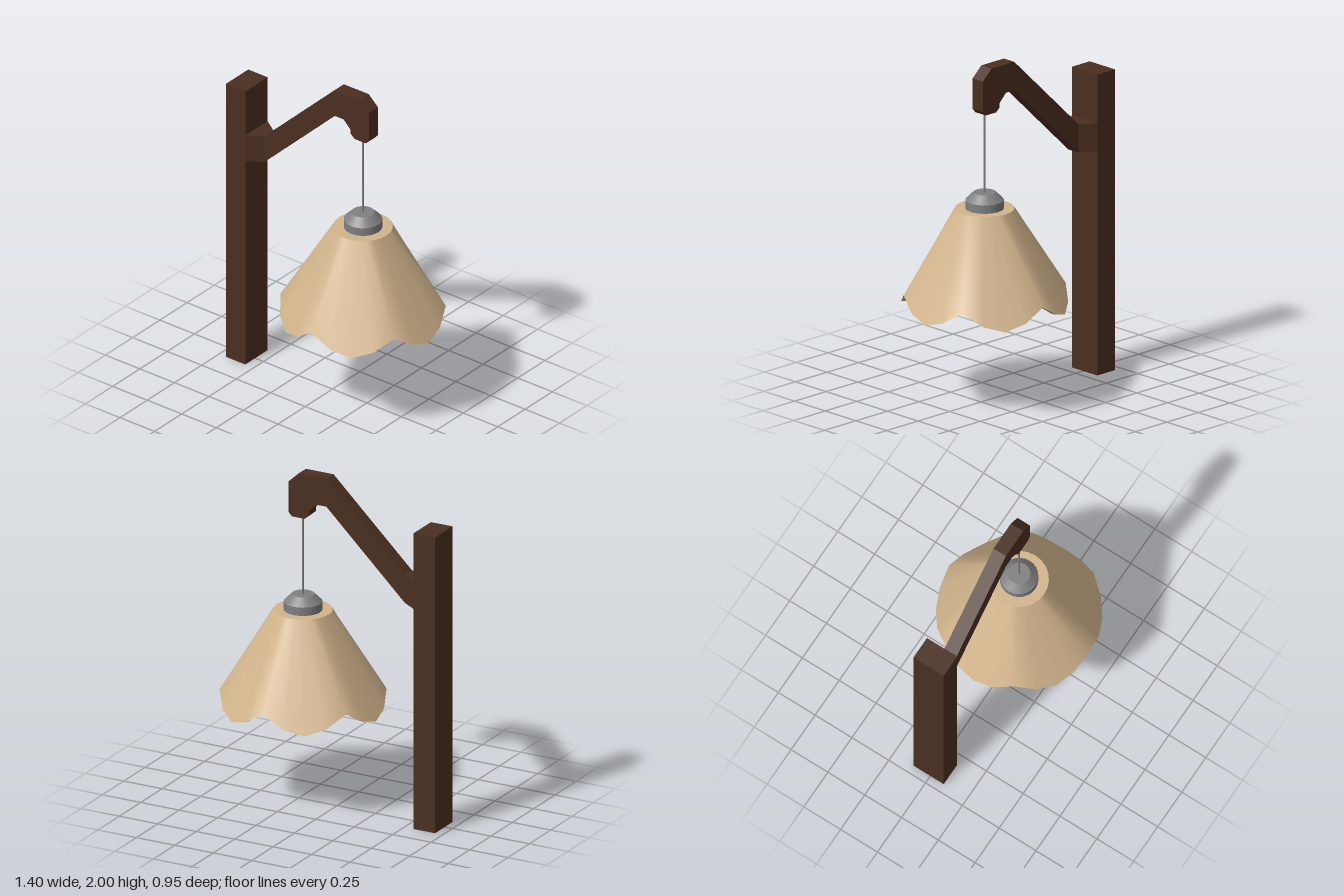
import * as THREE from 'three';

const LAMP_X = 0.222, ARM_Z = -0.012, SIDES = 24;

export function createModel() {
  const model = new THREE.Group();
  const material = (name, color, side = THREE.FrontSide) =>
    new THREE.MeshStandardMaterial({ name, color, side });
  const wood = material('darkWood', 0x4a2f20);
  const tan = material('tanShade', 0xd2b48c);
  const grey = material('greyMetal', 0x808080);

  const add = (name, geometry, mat, x = 0, y = 0, z = 0, parent = model) => {
    const mesh = new THREE.Mesh(geometry, mat);
    mesh.name = name;
    mesh.position.set(x, y, z);
    parent.add(mesh);
    return mesh;
  };

  // Upright post
  add('post', new THREE.BoxGeometry(0.14, 1.8, 0.205), wood, -0.63, 0.9, ARM_Z);

  // Bracket tapering from the post width to the arm width
  const bracket = new THREE.BoxGeometry(0.09, 0.17, 0.205);
  const p = bracket.attributes.position;
  for (let i = 0; i < p.count; i++) if (p.getX(i) > 0) p.setZ(i, Math.sign(p.getZ(i)) * 0.042);
  bracket.computeVertexNormals();
  add('bracket', bracket, wood, -0.515, 1.425, ARM_Z);

  // Sloping arm with hooked end
  const outline = [
    [-0.47, 1.34], [0.04, 1.83], [0.105, 1.83], [0.155, 1.78], [0.155, 1.755], [0.183, 1.73],
    [0.265, 1.73], [0.288, 1.755], [0.288, 1.938], [0.22, 2], [0.04, 2], [-0.47, 1.51],
  ].map(([x, y]) => new THREE.Vector2(x, y));
  const arm = new THREE.ExtrudeGeometry(new THREE.Shape(outline), { depth: 0.084, bevelEnabled: false });
  add('arm', arm, wood, 0, 0, ARM_Z - 0.042);

  // Hanging lamp
  const lamp = new THREE.Group();
  lamp.name = 'lamp';
  lamp.position.x = LAMP_X;
  model.add(lamp);
  add('cord', new THREE.CylinderGeometry(0.006, 0.006, 0.5, 10), grey, 0, 1.49, 0, lamp);
  add('capCollar', new THREE.CylinderGeometry(0.11, 0.11, 0.055, SIDES), grey, 0, 1.1775, 0, lamp);
  add('capTop', new THREE.CylinderGeometry(0.065, 0.11, 0.045, SIDES), grey, 0, 1.2275, 0, lamp);

  // Shade: rings joined by strips, the lower edge cut in six scallops
  const ring = (radius, height) => Array.from({ length: SIDES }, (_, i) => {
    const a = (i / SIDES) * Math.PI * 2;
    return [Math.sin(a) * radius, height(i), Math.cos(a) * radius];
  });
  const scallop = (i) => [0.67, 0.595, 0.56, 0.595][i % 4];
  const strip = (upper, lower) => {
    const index = [];
    for (let i = 0; i < SIDES; i++) {
      const j = (i + 1) % SIDES;
      index.push(i, SIDES + i, SIDES + j, i, SIDES + j, j);
    }
    const g = new THREE.BufferGeometry();
    g.setAttribute('position', new THREE.Float32BufferAttribute([...upper, ...lower].flat(), 3));
    g.setIndex(index);
    g.computeVertexNormals();
    return g;
  };
  const outerTop = ring(0.17, () => 1.155), outerRim = ring(0.475, scallop);
  const innerTop = ring(0.145, () => 1.13), innerRim = ring(0.443, scallop);
  add('shadeOutside', strip(outerTop, outerRim), tan, 0, 0, 0, lamp);
  add('shadeRim', strip(outerRim, innerRim), tan, 0, 0, 0, lamp);
  add('shadeInside', strip(innerRim, innerTop), tan, 0, 0, 0, lamp);
  add('shadeTop', new THREE.CircleGeometry(0.17, SIDES).rotateX(-Math.PI / 2), tan, 0, 1.155, 0, lamp);
  add('shadeCeiling', new THREE.CircleGeometry(0.145, SIDES).rotateX(Math.PI / 2), tan, 0, 1.13, 0, lamp);

  return model;
}
